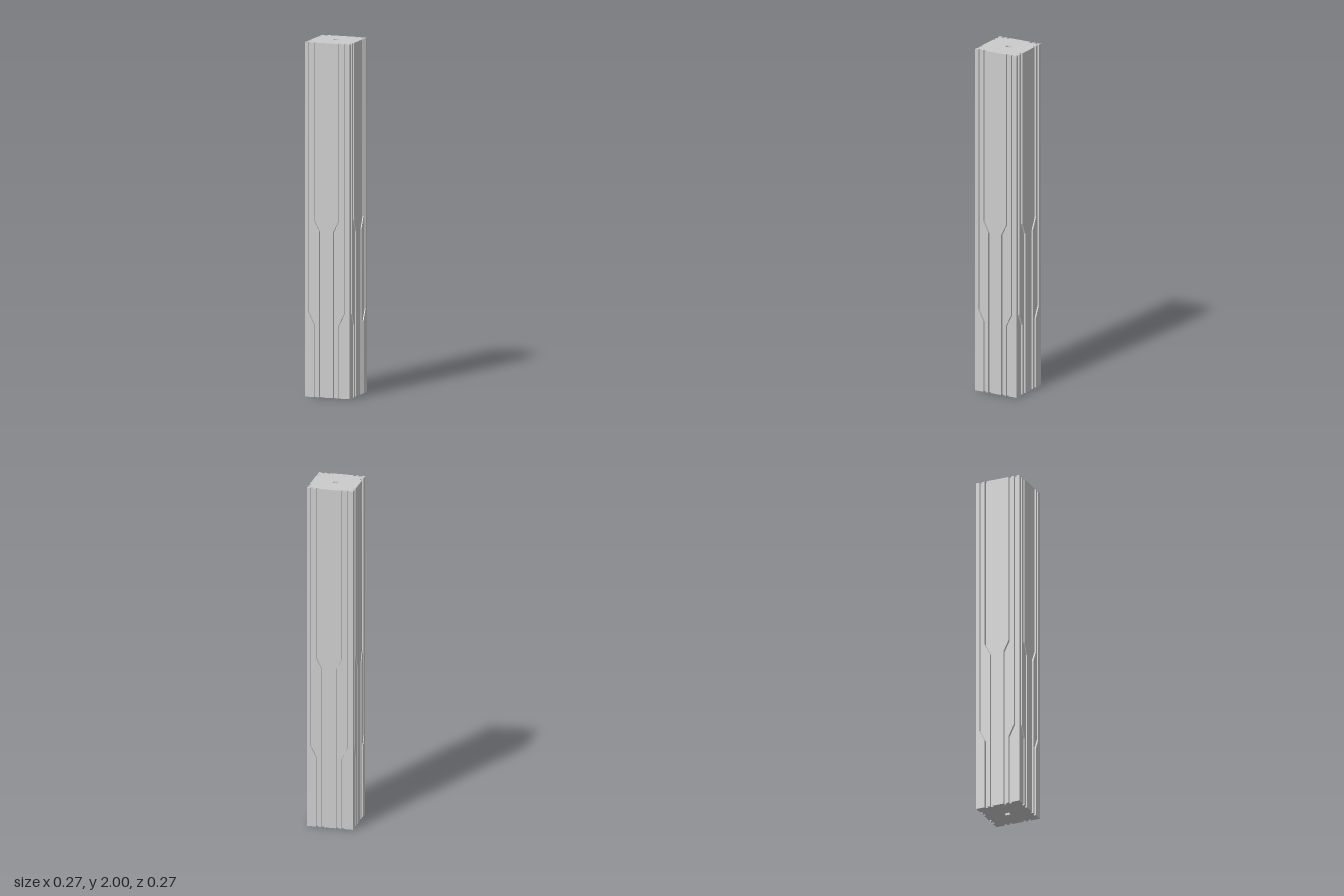
import * as THREE from 'three';

const H = 0.133;          // half width of the column
const GROOVE = 0.015;     // groove width
// heights where the grooves change direction, with the inner edges of both grooves
const LEVELS = [
  { y: 0, inner: 0.034, outer: 0.066 },
  { y: 0.41, inner: 0.034, outer: 0.066 },
  { y: 0.475, inner: 0.034, outer: 0.098 },
  { y: 0.935, inner: 0.034, outer: 0.098 },
  { y: 1.0, inner: 0.066, outer: 0.098 },
  { y: 2, inner: 0.066, outer: 0.098 },
];

// Notched square, counter-clockwise seen from above; plan coordinates are (x, -z)
function section({ inner, outer }) {
  const pts = [];
  for (let side = 0; side < 4; side++) {
    const depth = side % 2 ? 0.014 : 0.0115;
    const turn = (u, v) => pts.push(new THREE.Vector2(u, v).rotateAround(new THREE.Vector2(), side * Math.PI / 2));
    turn(-H, -H);
    for (const start of [-outer - GROOVE, -inner - GROOVE, inner, outer]) {
      turn(start, -H);
      turn(start, -H + depth);
      turn(start + GROOVE, -H + depth);
      turn(start + GROOVE, -H);
    }
  }
  return pts;
}

function columnGeometry() {
  const pos = [];
  const put = (p, y) => pos.push(p.x, y, -p.y);
  const wall = (a0, b0, b1, a1, y0, y1) => {
    put(a0, y0); put(b0, y0); put(b1, y1);
    put(a0, y0); put(b1, y1); put(a1, y1);
  };

  // Grooved outer walls
  const loops = LEVELS.map(section);
  for (let i = 0; i + 1 < loops.length; i++) {
    const lo = loops[i], hi = loops[i + 1];
    lo.forEach((p, k) => {
      const n = (k + 1) % lo.length;
      wall(p, lo[n], hi[n], hi[k], LEVELS[i].y, LEVELS[i + 1].y);
    });
  }

  // Square bore through the middle, clockwise so its walls face inward
  const bore = [[-0.013, -0.01], [-0.013, 0.02], [0.013, 0.02], [0.013, -0.01]]
    .map(([x, v]) => new THREE.Vector2(x, v));
  bore.forEach((p, k) => {
    const n = bore[(k + 1) % 4];
    wall(p, n, n, p, 0, 2);
  });

  // End caps
  for (const [loop, y] of [[loops[0], 0], [loops[loops.length - 1], 2]]) {
    const all = [...loop, ...bore];
    for (const [a, b, c] of THREE.ShapeUtils.triangulateShape(loop, [bore])) {
      for (const i of y ? [a, b, c] : [a, c, b]) put(all[i], y);
    }
  }

  const geometry = new THREE.BufferGeometry();
  geometry.setAttribute('position', new THREE.Float32BufferAttribute(pos, 3));
  geometry.computeVertexNormals();
  return geometry;
}

export function createModel() {
  const group = new THREE.Group();
  group.name = 'pillar';
  const column = new THREE.Mesh(
    columnGeometry(),
    new THREE.MeshStandardMaterial({ color: 0xcccccc, flatShading: true })
  );
  column.name = 'groovedColumn';
  group.add(column);
  return group;
}
